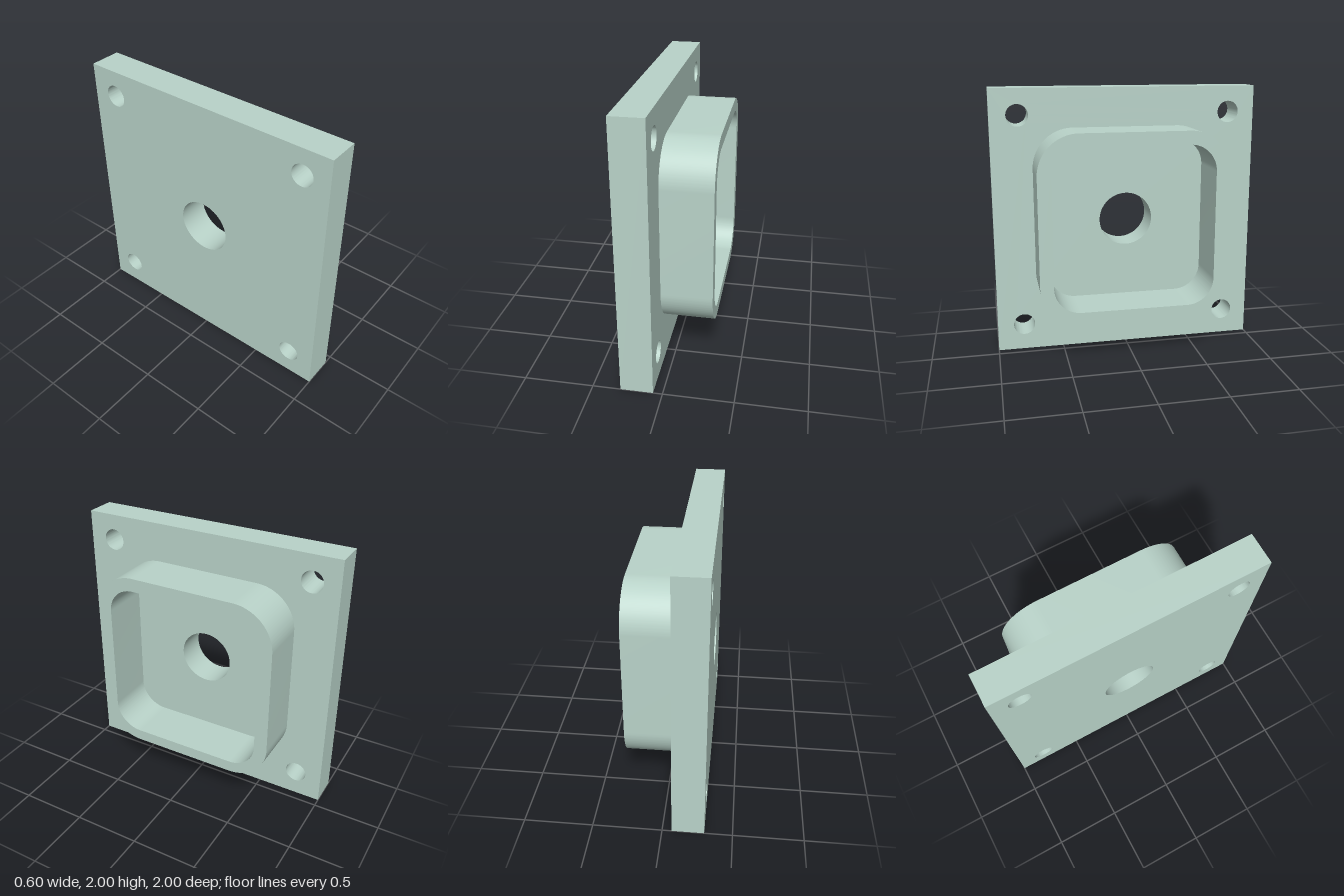
import * as THREE from 'three';
import { toCreasedNormals } from 'three/addons/utils/BufferGeometryUtils.js';

// Rounded rectangle outline centred on (0, cy)
function roundedRect(path, halfW, halfH, cy, r) {
  const w = halfW - r, h = halfH - r;
  path.moveTo(-w, cy - halfH);
  path.lineTo(w, cy - halfH);
  path.absarc(w, cy - h, r, -Math.PI / 2, 0);
  path.absarc(w, cy + h, r, 0, Math.PI / 2);
  path.absarc(-w, cy + h, r, Math.PI / 2, Math.PI);
  path.absarc(-w, cy - h, r, Math.PI, Math.PI * 1.5);
  return path;
}

function circle(x, y, r) {
  return new THREE.Path().absarc(x, y, r, 0, Math.PI * 2, true);
}

// Extrude a profile in the y-z plane along x, from x0 to x1
function extrudeX(name, shape, x0, x1, material) {
  const geo = new THREE.ExtrudeGeometry(shape, { depth: x1 - x0, bevelEnabled: false, curveSegments: 32 });
  geo.rotateY(Math.PI / 2).translate(x0, 0, 0);
  const mesh = new THREE.Mesh(toCreasedNormals(geo, 0.5), material);
  mesh.name = name;
  return mesh;
}

export function createModel() {
  const group = new THREE.Group();
  group.name = 'mountingFlange';
  const material = new THREE.MeshStandardMaterial({ color: 0xb9d3c9 });
  const plateFace = -0.067;

  // Square plate with a central bore and four bolt holes
  const plate = new THREE.Shape([
    new THREE.Vector2(-1, 0), new THREE.Vector2(1, 0),
    new THREE.Vector2(1, 2), new THREE.Vector2(-1, 2),
  ]);
  plate.holes.push(circle(0, 1.003, 0.202));
  for (const x of [-0.798, 0.798])
    for (const y of [0.2, 1.805]) plate.holes.push(circle(x, y, 0.081));
  group.add(extrudeX('basePlate', plate, -0.3, plateFace, material));

  // Raised hollow collar with rounded corners
  const collar = roundedRect(new THREE.Shape(), 0.697, 0.697, 1.012, 0.3);
  collar.holes.push(roundedRect(new THREE.Path(), 0.598, 0.604, 1.006, 0.2));
  group.add(extrudeX('collar', collar, plateFace, 0.3, material));

  return group;
}
